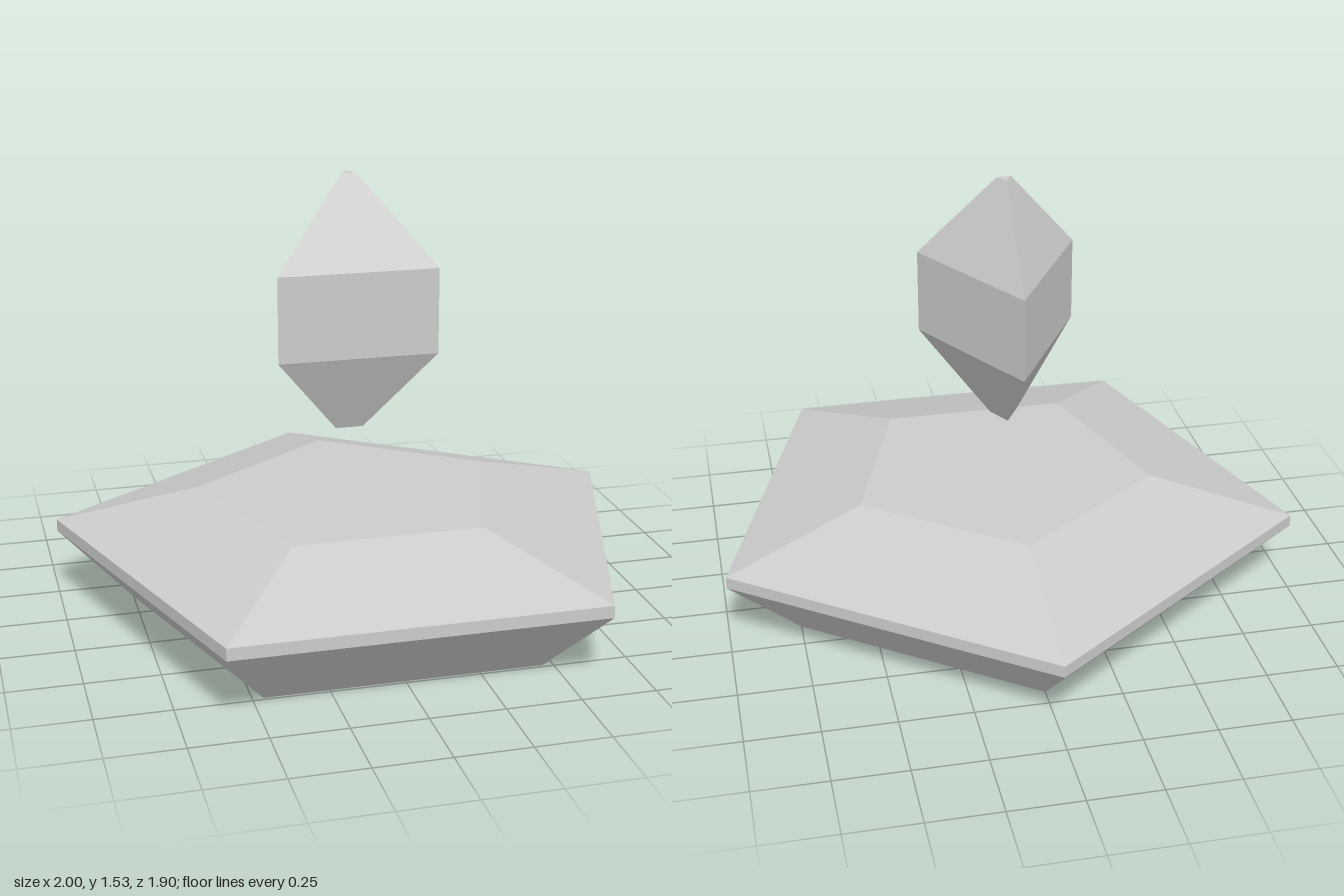
import * as THREE from 'three';

// Faceted solid: [radius, height] rings with regular n-gon sections, one corner pointing to -z
function facetedSolid(name, sides, rings, x, z) {
  const profile = [
    [0, rings[0][1]],
    ...rings,
    [0, rings[rings.length - 1][1]],
  ].map(([r, y]) => new THREE.Vector2(r, y));
  const mesh = new THREE.Mesh(
    new THREE.LatheGeometry(profile, sides, Math.PI),
    new THREE.MeshStandardMaterial({ color: 0xcccccc, flatShading: true })
  );
  mesh.name = name;
  mesh.position.set(x, 0, z);
  return mesh;
}

export function createModel() {
  const group = new THREE.Group();
  group.name = 'floatingCrystalPedestal';

  // Five-sided base: flared underside, thin rim, sloping top
  group.add(facetedSolid('pedestal', 5,
    [[0.79, 0], [1.051, 0.243], [1.051, 0.285], [0.546, 0.42]], 0, 0.1));

  // Three-sided crystal hovering above, with blunt tips
  group.add(facetedSolid('crystal', 3,
    [[0.055, 0.65], [0.316, 0.93], [0.316, 1.222], [0.028, 1.527]], -0.02, 0.068));

  return group;
}
